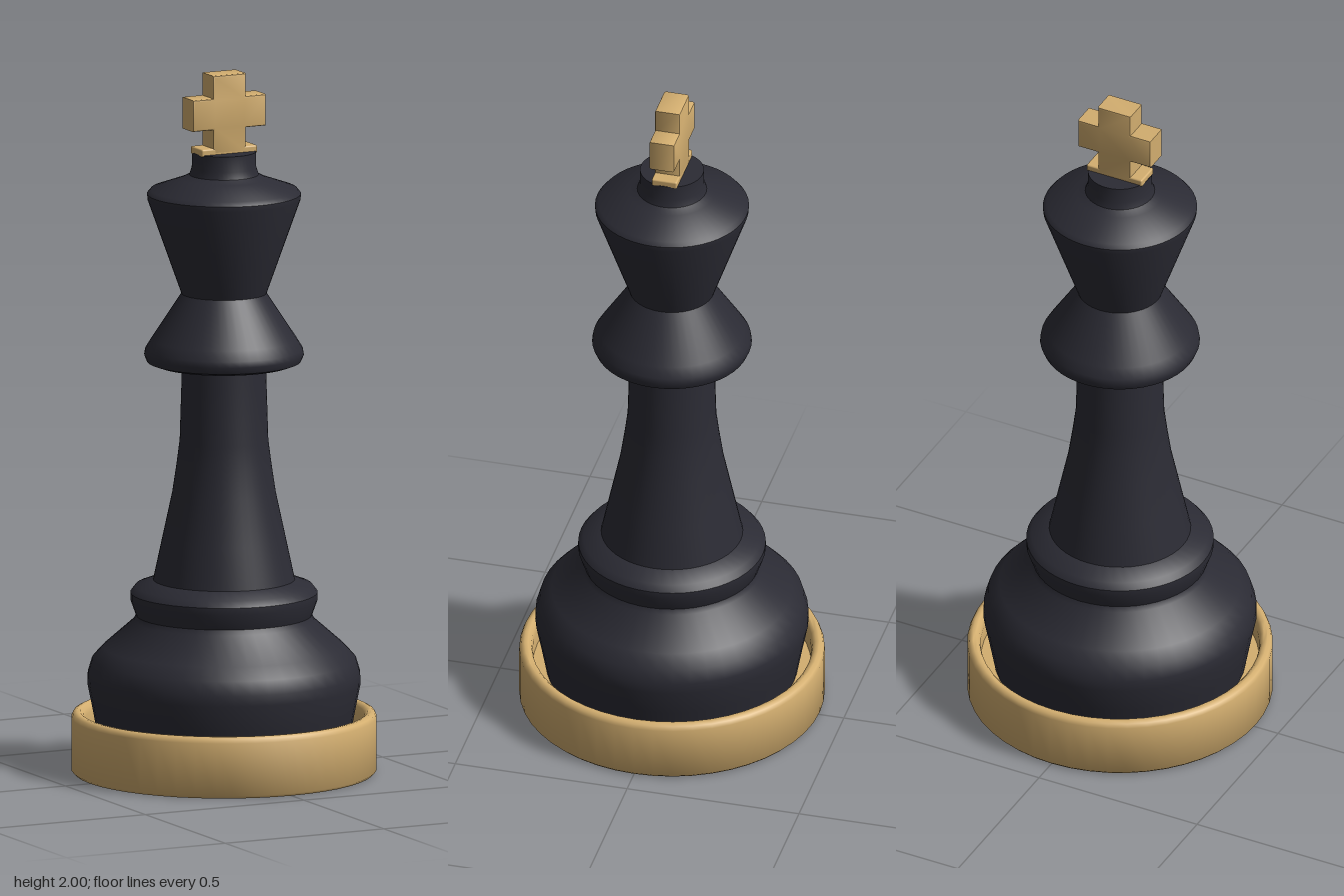
import * as THREE from 'three';
import { toCreasedNormals } from 'three/addons/utils/BufferGeometryUtils.js';
import { RoundedBoxGeometry } from 'three/addons/geometries/RoundedBoxGeometry.js';

const gold = new THREE.MeshStandardMaterial({ color: 0xd4af70 });
gold.name = 'warm gold';
const dark = new THREE.MeshStandardMaterial({ color: 0x2b2b34 });
dark.name = 'charcoal';

function addMesh(parent, name, geometry, material) {
  const mesh = new THREE.Mesh(geometry, material);
  mesh.name = name;
  parent.add(mesh);
  return mesh;
}

// Turned part from [radius, height] pairs, listed bottom to top
function turned(profile, crease = 0.6) {
  const points = profile.map(([r, y]) => new THREE.Vector2(r, y));
  return toCreasedNormals(new THREE.LatheGeometry(points, 48), crease);
}

export function createModel() {
  const group = new THREE.Group();
  group.name = 'chessKing';

  // Gold base dish with a rounded rim and a shallow recess
  addMesh(group, 'base', turned([
    [0, 0], [0.422, 0], [0.43, 0.008], [0.43, 0.158], [0.425, 0.17], [0.415, 0.175],
    [0.405, 0.174], [0.396, 0.165], [0.392, 0.15], [0.392, 0.1], [0, 0.1],
  ], 0.9), gold);

  // Bulging foot and collar
  addMesh(group, 'foot', turned([
    [0.355, 0.1], [0.37, 0.18], [0.385, 0.255], [0.384, 0.285], [0.372, 0.325],
    [0.34, 0.36], [0.255, 0.435], [0.248, 0.45], [0.264, 0.495], [0.264, 0.515],
    [0.25, 0.533], [0.19, 0.555],
  ]), dark);

  // Tapering stem
  addMesh(group, 'stem', turned([
    [0.202, 0.54], [0.174, 0.67], [0.146, 0.8], [0.134, 0.88], [0.125, 0.95], [0.118, 1.18],
  ]), dark);

  // Flange, waisted crown and neck
  addMesh(group, 'crown', turned([
    [0.1, 1.168], [0.195, 1.168], [0.217, 1.176], [0.225, 1.195], [0.222, 1.212],
    [0.205, 1.24], [0.12, 1.37], [0.216, 1.64], [0.217, 1.655], [0.207, 1.667],
    [0.12, 1.698], [0.098, 1.71], [0.091, 1.73], [0.09, 1.775], [0, 1.775],
  ]), dark);

  // Cross finial: softly bevelled plus shape on a thin plate
  const finial = new THREE.Group();
  finial.name = 'finial';
  group.add(finial);
  const bevel = 0.006;
  const w = 0.052 - bevel, arm = 0.115 - bevel;
  const low = 1.845 + bevel, high = 1.935 - bevel, top = 2 - bevel;
  const outline = [
    [-w, 1.78], [w, 1.78], [w, low], [arm, low], [arm, high], [w, high],
    [w, top], [-w, top], [-w, high], [-arm, high], [-arm, low], [-w, low],
  ].map(([x, y]) => new THREE.Vector2(x, y));
  const depth = 0.074 - 2 * bevel;
  const cross = new THREE.ExtrudeGeometry(new THREE.Shape(outline), {
    depth, bevelSize: bevel, bevelThickness: bevel, bevelSegments: 2,
  });
  cross.translate(0, 0, -depth / 2);
  addMesh(finial, 'cross', toCreasedNormals(cross, 0.6), gold);
  addMesh(finial, 'crossPlate', new RoundedBoxGeometry(0.176, 0.022, 0.074, 2, 0.005), gold)
    .position.y = 1.781;

  return group;
}
